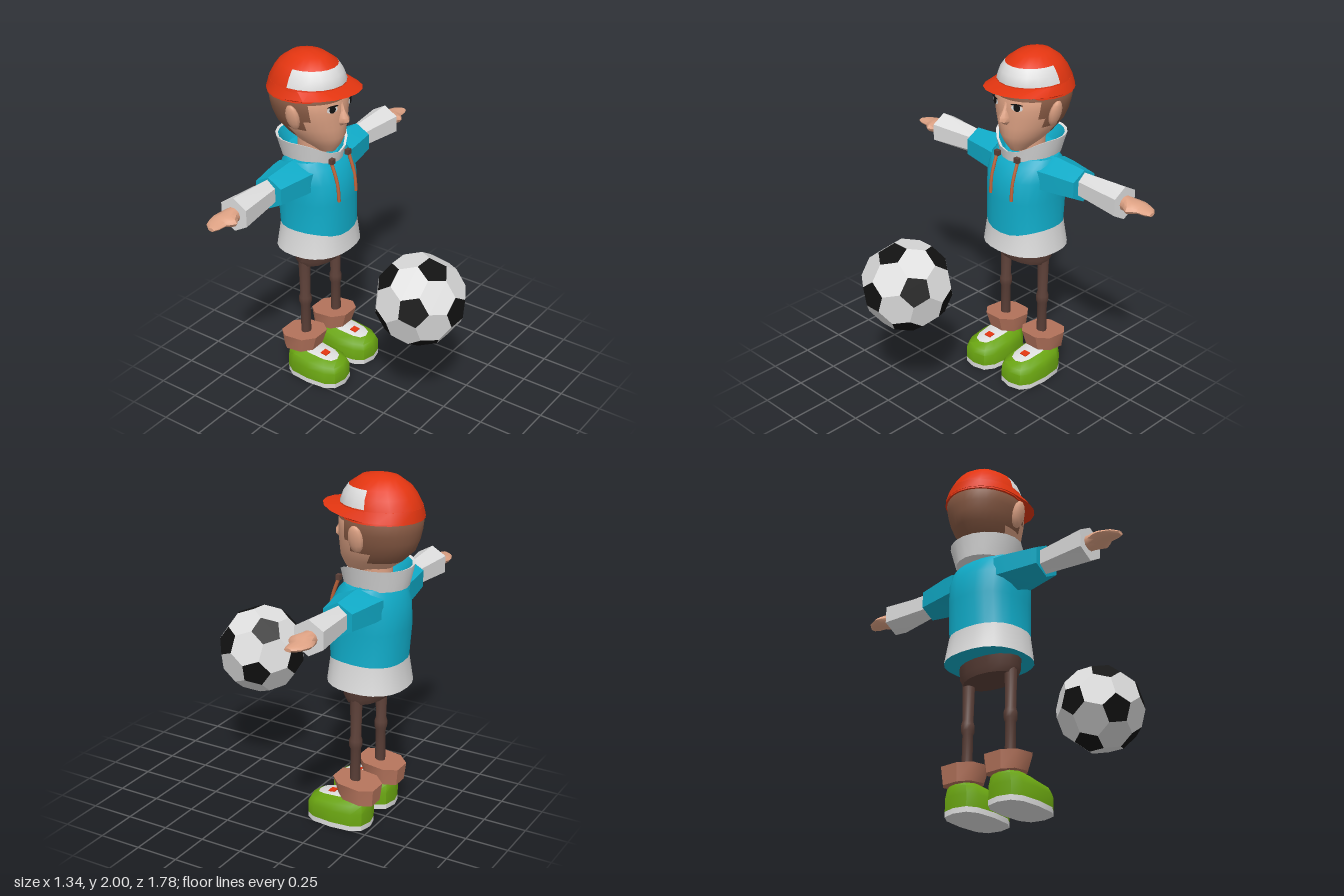
import * as THREE from 'three';
import { toCreasedNormals } from 'three/addons/utils/BufferGeometryUtils.js';

const mat = (name, color) => new THREE.MeshStandardMaterial({ name, color });

// Horizontal ring: o.n sides, o.p squareness, o.tilt front rise, o.dip front notch, o.z centre, o.turn phase
function ring(y, cx, rx, rz, o = {}) {
  const { n = 16, p = 1, tilt = 0, dip = 0, z = 0, turn = 0 } = o;
  const pw = v => Math.sign(v) * Math.pow(Math.abs(v), p);
  return Array.from({ length: n }, (_, j) => {
    const a = (j / n) * Math.PI * 2 + turn, c = Math.cos(a), s = Math.sin(a);
    return new THREE.Vector3(cx + rx * pw(c), y + tilt * c - dip * Math.max(0, c) ** 3, z + rz * pw(s));
  });
}

// Skin over rings listed upwards, with capped ends; pick(centre, band) chooses the material
function loft(name, rings, mats, pick = () => 0, crease = 0.75) {
  const list = [].concat(mats), tris = list.map(() => []);
  const add = (i, a, b, c, key) => tris[pick(key, i)].push(a, b, c);
  const mean = pts => pts.reduce((s, v) => s.add(v), new THREE.Vector3()).divideScalar(pts.length);
  const n = rings[0].length, last = rings.length - 1;
  const c0 = mean(rings[0]), c1 = mean(rings[last]);
  for (let j = 0; j < n; j++) {
    const k = (j + 1) % n;
    for (let i = 0; i < last; i++) {
      const a = rings[i][j], b = rings[i][k], c = rings[i + 1][j], d = rings[i + 1][k];
      const m = mean([a, b, c, d]);
      add(i, a, c, b, m);
      add(i, b, c, d, m);
    }
    add(-1, c0, rings[0][j], rings[0][k], c0);
    add(last, c1, rings[last][k], rings[last][j], c1);
  }
  const g = new THREE.BufferGeometry().setFromPoints(tris.flat());
  let start = 0;
  tris.forEach((t, i) => { g.addGroup(start, t.length, i); start += t.length; });
  const mesh = new THREE.Mesh(toCreasedNormals(g, crease), list);
  mesh.name = name;
  return mesh;
}

// Truncated icosahedron with one dark panel towards +x
function makeBall(r, mats) {
  const v = [new THREE.Vector3(1, 0, 0)];
  for (let k = 0; k < 5; k++) {
    const b = k * Math.PI * 0.4 + 0.05, q = 2 / Math.sqrt(5);
    v.push(new THREE.Vector3(1 / Math.sqrt(5), q * Math.cos(b), q * Math.sin(b)));
  }
  v.slice().forEach(p => v.push(p.clone().negate()));
  const near = (a, b) => Math.abs(a.dot(b) - 1 / Math.sqrt(5)) < 0.01;
  const corners = [], hexes = [];
  v.forEach((a, i) => v.forEach((b, j) => {
    if (!near(a, b)) return;
    corners.push(a.clone().multiplyScalar(2).add(b).setLength(r));
    v.forEach((c, k) => { if (i < j && j < k && near(a, c) && near(b, c)) hexes.push(a.clone().add(b).add(c).normalize()); });
  }));
  const g = new THREE.BufferGeometry(), pts = [];
  [v, hexes].forEach((dirs, m) => {
    const start = pts.length;
    dirs.forEach(d => {
      const top = Math.max(...corners.map(c => c.dot(d)));
      const face = corners.filter(c => c.dot(d) > top - 0.005);
      const u = face[0].clone().addScaledVector(d, -top).normalize(), w = d.clone().cross(u);
      face.sort((a, b) => Math.atan2(a.dot(w), a.dot(u)) - Math.atan2(b.dot(w), b.dot(u)));
      for (let i = 1; i < face.length - 1; i++) pts.push(face[0], face[i], face[i + 1]);
    });
    g.addGroup(start, pts.length - start, m);
  });
  g.setFromPoints(pts);
  g.computeVertexNormals();
  const mesh = new THREE.Mesh(g, mats);
  mesh.name = 'ball';
  return mesh;
}

export function createModel() {
  const root = new THREE.Group();
  root.name = 'playerWithBall';
  const skin = mat('skin', 0xdea284), hair = mat('hair', 0x885a44), red = mat('capRed', 0xe33510);
  const white = mat('white', 0xdedede), blue = mat('shirtBlue', 0x10abc8), brown = mat('darkBrown', 0x5c4038);
  const tan = mat('sockTan', 0xb5745c), green = mat('shoeGreen', 0x6aa511);
  const black = mat('black', 0x121212), orange = mat('cordOrange', 0xc2653c);
  const put = (name, geo, m, x, y, z) => {
    const mesh = new THREE.Mesh(geo, m);
    mesh.name = name;
    mesh.position.set(x, y, z);
    root.add(mesh);
    return mesh;
  };

  // Head with hair over the back, temples and fringe
  const h = { n: 32 };
  root.add(loft('neck', [ring(1.36, -0.41, 0.09, 0.08), ring(1.54, -0.4, 0.1, 0.09)], skin));
  root.add(loft('head', [
    ring(1.44, -0.33, 0.07, 0.045, h), ring(1.49, -0.36, 0.135, 0.09, h), ring(1.54, -0.385, 0.18, 0.13, h),
    ring(1.6, -0.415, 0.212, 0.165, h), ring(1.66, -0.425, 0.225, 0.188, h), ring(1.71, -0.43, 0.23, 0.2, h),
    ring(1.765, -0.435, 0.23, 0.207, h), ring(1.84, -0.43, 0.2, 0.17, h)
  ], [skin, hair], c => (c.y > 1.765 || (c.y > 1.59 && c.x < -0.32) || (c.y > 1.52 && c.x < -0.42)) ? 1 : 0));
  const ns = { n: 8 };
  root.add(loft('nose', [
    ring(1.615, -0.215, 0.015, 0.02, ns), ring(1.64, -0.205, 0.045, 0.034, ns), ring(1.665, -0.2, 0.038, 0.03, ns),
    ring(1.7, -0.207, 0.022, 0.016, ns), ring(1.75, -0.215, 0.012, 0.012, ns)
  ], skin));

  // Cap with white front panel
  const c = { n: 20 };
  root.add(loft('cap', [
    ring(1.775, -0.445, 0.226, 0.215, c), ring(1.845, -0.432, 0.226, 0.192, c), ring(1.895, -0.427, 0.203, 0.175, c),
    ring(1.938, -0.425, 0.172, 0.146, c), ring(1.985, -0.425, 0.105, 0.085, c), ring(2.0, -0.43, 0.035, 0.03, c)
  ], [red, white], (p, i) => (i === 1 || i === 2) && p.x > -0.41 ? 1 : 0));
  const rim = ring(1.785, -0.445, 0.226, 0.217, c);
  const reach = rim.map(p => {
    const f = Math.max(0, (p.x + 0.445) / 0.226);
    return new THREE.Vector3(p.x + 0.115 * Math.sqrt(f), p.y + 0.04 * f, p.z);
  });
  root.add(loft('capBrim', [rim, reach, ring(1.84, -0.437, 0.224, 0.193, c)], red, undefined, 0.4));

  // Hooded shirt with hem and collar
  const t = { n: 24, p: 0.85 };
  const hemTop = { ...t, tilt: 0.012, dip: 0.045 };
  root.add(loft('shirt', [
    ring(0.83, -0.385, 0.225, 0.235, { ...t, tilt: 0.008 }), ring(0.985, -0.38, 0.206, 0.213, hemTop),
    ring(1.16, -0.385, 0.216, 0.212, t), ring(1.29, -0.385, 0.206, 0.218, t),
    ring(1.37, -0.39, 0.165, 0.215, t), ring(1.41, -0.395, 0.13, 0.19, t)
  ], [blue, white], (p, i) => i === 0 ? 1 : 0));
  const k = { n: 20 };
  root.add(loft('collar', [
    ring(1.395, -0.415, 0.18, 0.165, { ...k, dip: 0.01 }), ring(1.525, -0.42, 0.2, 0.203, { ...k, tilt: 0.01, dip: 0.09 }),
    ring(1.52, -0.42, 0.185, 0.188, { ...k, tilt: 0.01, dip: 0.09 }), ring(1.425, -0.415, 0.15, 0.14, { ...k, dip: 0.01 })
  ], [white, blue], (p, i) => i > 1 ? 1 : 0, 0.5));

  // Shorts
  root.add(loft('shorts', [ring(0.735, -0.375, 0.105, 0.17), ring(0.77, -0.375, 0.118, 0.19), ring(0.88, -0.38, 0.128, 0.195)], brown));

  for (const s of [1, -1]) {
    const side = s > 0 ? 'left' : 'right';

    // Face details
    const ear = put(side + 'Ear', new THREE.SphereGeometry(1, 10, 8), skin, -0.39, 1.685, s * 0.2);
    ear.scale.set(0.045, 0.08, 0.024);
    ear.rotation.x = s * 0.25;
    const eyePart = (name, m, rx, ry, y, off) => {
      const e = put(side + name, new THREE.CircleGeometry(1, 16), m, -0.218 + off, y, s * (0.078 + off * 0.4));
      e.scale.set(rx, ry, 1);
      e.rotation.y = Math.PI / 2 - s * 0.38;
    };
    eyePart('EyeWhite', white, 0.034, 0.02, 1.732, 0.008);
    eyePart('Pupil', black, 0.02, 0.021, 1.733, 0.011);
    eyePart('Lash', black, 0.036, 0.006, 1.752, 0.012);

    // Drawstring
    const cord = new THREE.CatmullRomCurve3([[-0.225, 1.41], [-0.193, 1.32], [-0.18, 1.26], [-0.175, 1.18]]
      .map(([x, y]) => new THREE.Vector3(x, y, s * 0.08)));
    put(side + 'Drawstring', new THREE.TubeGeometry(cord, 8, 0.01, 6), orange, 0, 0, 0);
    put(side + 'CordKnot', new THREE.BoxGeometry(0.025, 0.03, 0.03), brown, -0.223, 1.415, s * 0.075);

    // Arm built upright, then laid out sideways
    const arm = new THREE.Group();
    arm.name = side + 'Arm';
    const x6 = { n: 6, turn: Math.PI / 6 };
    arm.add(loft('upperSleeve', [
      ring(0.15, -0.405, 0.15, 0.105, x6), ring(0.22, -0.405, 0.14, 0.108, x6), ring(0.41, -0.405, 0.1, 0.095, x6)
    ], blue));
    arm.add(loft('lowerSleeve', [ring(0.4, -0.41, 0.058, 0.08, x6), ring(0.7, -0.405, 0.098, 0.098, x6)], white));
    const f = { n: 10 };
    arm.add(loft('hand', [
      ring(0.68, -0.41, 0.045, 0.042, f), ring(0.72, -0.41, 0.05, 0.042, f), ring(0.765, -0.402, 0.074, 0.034, f),
      ring(0.79, -0.412, 0.068, 0.028, f), ring(0.81, -0.42, 0.057, 0.022, f), ring(0.86, -0.412, 0.045, 0.017, f),
      ring(0.89, -0.4, 0.02, 0.01, f)
    ], skin));
    arm.position.y = 1.31;
    arm.rotation.x = s * Math.PI / 2;
    root.add(arm);

    // Leg, folded sock and shoe
    const z = s * 0.148, l = { n: 10, z };
    root.add(loft(side + 'Leg', [[0.2, 0.03], [0.46, 0.029], [0.48, 0.037], [0.515, 0.037], [0.54, 0.03], [0.78, 0.035]]
      .map(([y, r]) => ring(y, -0.38, r, r, l)), brown));
    const o = { n: 8, z, p: 0.8, turn: Math.PI / 8 };
    root.add(loft(side + 'Sock', [
      ring(0.172, -0.405, 0.113, 0.1, { ...o, tilt: 0.018 }), ring(0.272, -0.395, 0.135, 0.117, { ...o, tilt: 0.018 })
    ], tan));
    const w = { n: 12, z, p: 0.7 };
    root.add(loft(side + 'Shoe', [
      ring(0, -0.29, 0.19, 0.12, w), ring(0.03, -0.29, 0.19, 0.12, w), ring(0.1, -0.29, 0.19, 0.12, w),
      ring(0.14, -0.295, 0.18, 0.105, { ...w, tilt: -0.012 }), ring(0.172, -0.305, 0.15, 0.065, { ...w, tilt: -0.018 })
    ], [green, white], (p, i) => i < 1 || i === 4 ? 1 : 0));
    const lace = put(side + 'Lace', new THREE.BoxGeometry(0.04, 0.008, 0.045), red, -0.24, 0.166, z);
    lace.rotation.z = -0.12;
  }

  // Football
  const ball = makeBall(0.258, [black, white]);
  ball.position.set(0.417, 0.793, 0.147);
  ball.rotation.set(0, -0.06, 0.07);
  root.add(ball);
  return root;
}
